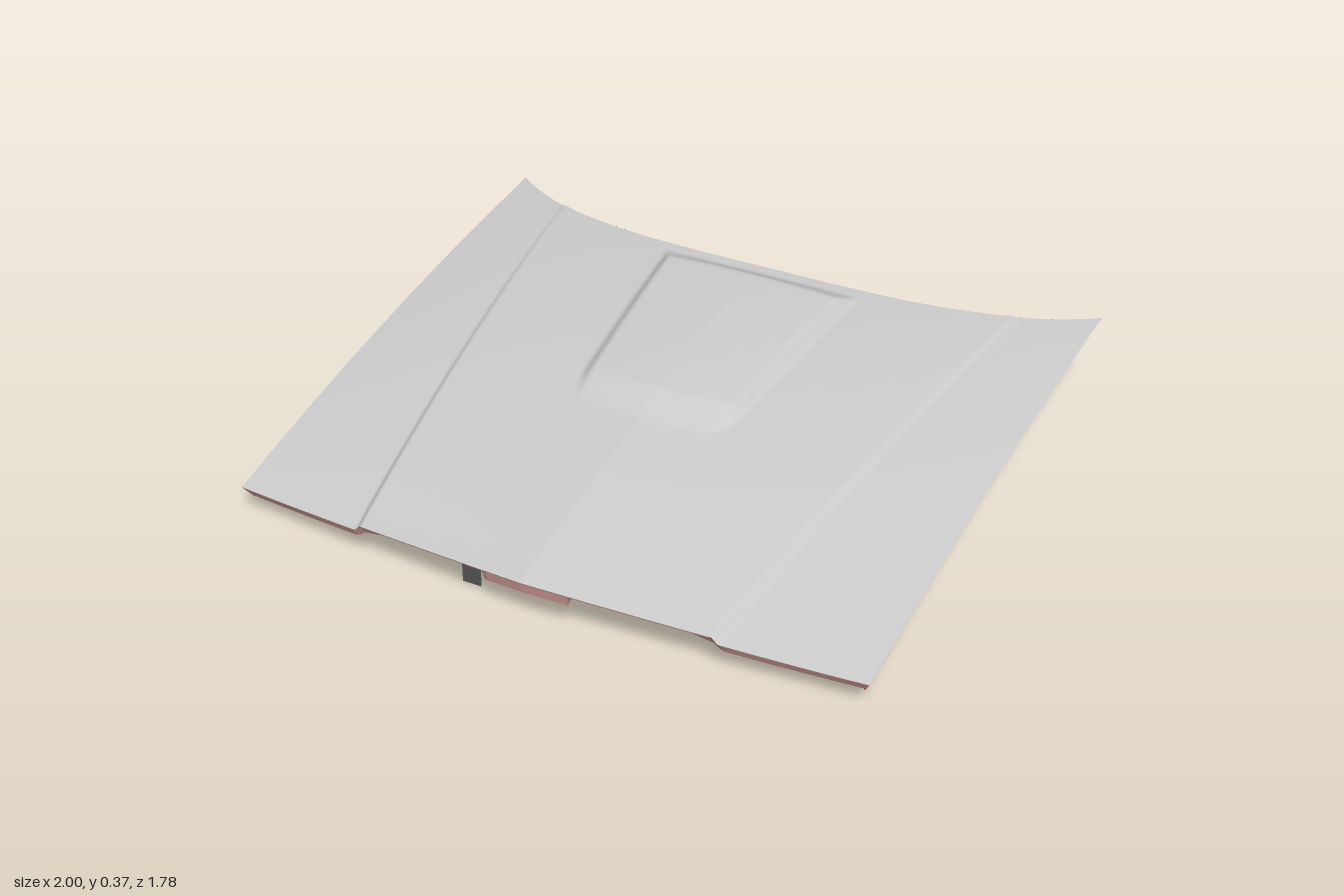
import * as THREE from 'three';
import { mergeGeometries } from 'three/addons/utils/BufferGeometryUtils.js';

const { clamp, lerp, smoothstep } = THREE.MathUtils;

// Lengthwise height curves along the middle and along the side edge
const centreY = z => { const t = 0.885 - z; return 0.152 + 0.2245 * t - 0.0686 * t * t; };
const edgeY = z => { const t = 0.795 - z; return 0.095 + 0.1916 * t - 0.0433 * t * t; };

// Crowned panel, peaked at the front, with a low step along each diagonal crease
function baseY(x, z, stepSize = 1) {
  const ax = Math.min(1, Math.abs(x));
  const back = clamp((0.8 - z) / 1.5, 0, 1);
  const step = stepSize * lerp(0.018, 0.004, back);
  const crease = 0.55 + (0.83 - z) * 0.1438;
  const shape = lerp(1 - Math.pow(1 - ax, 1.4), Math.pow(ax, 3), Math.pow(back, 0.7));
  const crown = (centreY(z) - edgeY(z) - step) * shape;
  return centreY(z) - crown - step * smoothstep(ax, crease - 0.008, crease + 0.01);
}

// Raised scoop: crowned top, tapered sides, rounded front corners, rear bevel
function scoopY(x, z) {
  const side = clamp((0.27 - 0.1 * z - Math.abs(x)) / 0.045, 0, 1);
  const front = clamp((0.215 - 0.6 * x * x - z) / 0.14, 0, 1);
  const rear = clamp((z + 0.602) / 0.068, 0, 1);
  const rise = 1 - Math.min(1, Math.hypot(1 - side, 1 - front));
  const height = lerp(0.028, 0.036, clamp((0.1 - z) / 0.6, 0, 1)) - 0.08 * x * x;
  return height * Math.min(smoothstep(rise, 0, 1), rear);
}

// Plan position for u (-1..1 across) and v (0 front .. 1 back), pulled in by inset
function plan(u, v, inset = 0) {
  const vv = lerp(inset / 1.6, 1 - inset / 1.6, v);
  const x = u * (1 - inset) * lerp(0.97, 1, vv);
  const ax = Math.abs(x);
  return [x, lerp(0.889 - 0.097 * ax, -0.645 - 0.245 * Math.pow(ax, 3.4), vv)];
}

// Surface grid from a function of two 0..1 parameters
function grid(n, m, fn) {
  const pos = [], index = [];
  for (let j = 0; j <= m; j++) for (let i = 0; i <= n; i++) pos.push(...fn(i / n, j / m));
  for (let j = 0; j < m; j++) for (let i = 0; i < n; i++) {
    const a = j * (n + 1) + i, c = a + n + 1;
    index.push(a, a + 1, c, a + 1, c + 1, c);
  }
  const g = new THREE.BufferGeometry();
  g.setAttribute('position', new THREE.Float32BufferAttribute(pos, 3));
  g.setIndex(index);
  g.computeVertexNormals();
  return g;
}

// Front, left, rear and right edge, each as t -> [u, v], in one loop
const edges = [
  t => [2 * t - 1, 0], t => [1, t], t => [1 - 2 * t, 1], t => [-1, 1 - t],
];

// Strips along the chosen edges between [inset, drop] rings
function perimeter(rings, sides = [0, 1, 2, 3]) {
  const parts = [];
  for (const side of sides) {
    for (let k = 0; k + 1 < rings.length; k++) {
      parts.push(grid(120, 1, (t, s) => {
        const [inset, drop] = rings[k + s];
        const [x, z] = plan(...edges[side](t), inset);
        const d = typeof drop === 'function' ? drop(Math.abs(x), side === 0) : drop;
        return [x, baseY(x, z) - d, z];
      }));
    }
  }
  return mergeGeometries(parts);
}

// Depth of the frame lip, with two notches at the front
function lipDrop(ax, isFront) {
  if (!isFront) return 0.042;
  if (ax > 0.47) return lerp(0.022, 0.036, clamp((ax - 0.47) / 0.08, 0, 1));
  if (ax > 0.29) return 0.022;
  return ax > 0.13 ? 0.012 : 0.05;
}

export function createModel() {
  const group = new THREE.Group();
  const mat = color => new THREE.MeshStandardMaterial({ color, side: THREE.DoubleSide });
  const grey = mat(0xcccccc), pink = mat(0xf0b4ae), red = mat(0xc01616);
  const dark = mat(0x222222), steel = mat(0x555555);
  const add = (name, geometry, material, x = 0, y = 0, z = 0) => {
    const mesh = new THREE.Mesh(geometry, material);
    mesh.name = name;
    mesh.position.set(x, y, z);
    group.add(mesh);
    return mesh;
  };

  // Outer skin with scoop
  add('hoodSkin', grid(240, 140, (s, v) => {
    const [x, z] = plan(2 * s - 1, v);
    return [x, baseY(x, z) + scoopY(x, z), z];
  }), grey);

  // Walls below the edge; the rear one sits in behind a dark gap
  add('edgeWall', perimeter([[0, 0], [0.003, 0.006], [0.02, lipDrop]], [0, 1, 3]), pink);
  add('rearGap', perimeter([[0, 0], [0.002, 0.006], [0.018, 0.014]], [2]), dark);
  add('rearWall', perimeter([[0.018, 0.014], [0.02, lipDrop]], [2]), red);

  // Inner frame: wide bottom flange
  add('innerFrame', perimeter([[0.02, lipDrop], [0.06, 0.04], [0.11, 0.028]]), red);

  // Smooth lining under the skin
  add('lining', grid(60, 40, (s, v) => {
    const [x, z] = plan(1 - 2 * s, v, 0.1);
    return [x, baseY(x, z, 0) - 0.028, z];
  }), dark);

  // Hinge mounts at the rear corners
  for (const s of [-1, 1]) {
    const mount = add(s > 0 ? 'leftHingeMount' : 'rightHingeMount',
      new THREE.BoxGeometry(0.04, 0.035, 0.18), red, s * 0.93, 0.242, -0.71);
    mount.rotation.set(0.04, s * 0.04, 0);
  }

  // Flat release tab and small latch striker near the front
  add('releaseTab', new THREE.PlaneGeometry(0.06, 0.13), steel, -0.22, 0.065, 0.78);
  const striker = new THREE.CylinderGeometry(0.024, 0.014, 0.09, 4);
  striker.rotateY(Math.PI / 4);
  add('latchStriker', striker, steel, -0.03, 0.092, 0.72);

  return group;
}
